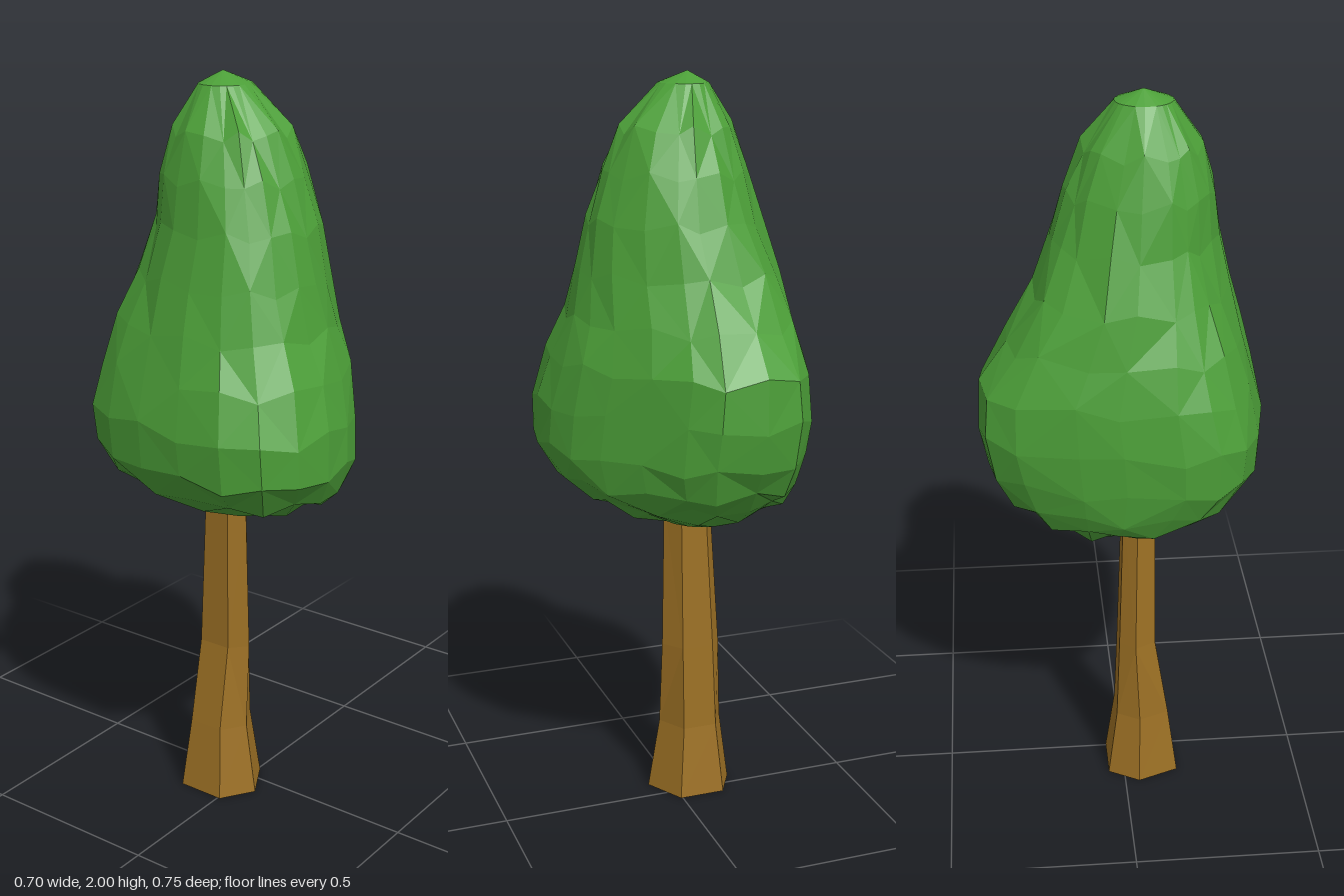
import * as THREE from 'three';

// Closed skin over rings of equal length, each running counter-clockwise seen from above
function skin(rings, bottom, top) {
  const n = rings[0].length;
  const points = [...rings.flat(), bottom, top];
  const index = [];
  const last = rings.length - 1;
  const low = rings.length * n, high = low + 1;
  for (let i = 0; i < n; i++) {
    const j = (i + 1) % n;
    for (let r = 0; r < last; r++) {
      const a = r * n + i, b = r * n + j;
      const c = b + n, d = a + n;
      // alternate the diagonals for an irregular faceted look
      if ((r + i) % 2) index.push(a, b, c, a, c, d);
      else index.push(a, b, d, b, c, d);
    }
    index.push(low, j, i, high, last * n + i, last * n + j);
  }
  const g = new THREE.BufferGeometry();
  g.setAttribute('position', new THREE.Float32BufferAttribute(points.flat(), 3));
  g.setIndex(index);
  g.computeVertexNormals();
  return g;
}

// Crown footprint as x, z, from the front left corner round to the left side
const footprint = [
  [-0.295, 0.29], [-0.2, 0.335], [-0.08, 0.36], [0.055, 0.375], [0.19, 0.377], [0.285, 0.335],
  [0.34, 0.25], [0.355, 0.14], [0.345, 0.04], [0.31, -0.05], [0.25, -0.13], [0.17, -0.22],
  [0.09, -0.31], [0.02, -0.365], [-0.1, -0.377], [-0.2, -0.36], [-0.26, -0.285],
  [-0.31, -0.13], [-0.335, -0.02], [-0.355, 0.13], [-0.34, 0.22],
];

// Crown levels: y, x min, x max, z min, z max, roundness (1 = ellipse, 0 = footprint)
const levels = [
  [0.835, -0.17, 0.05, -0.14, 0.06, 1],
  [0.87, -0.24, 0.15, -0.2, 0.13, 0.8],
  [0.91, -0.3, 0.24, -0.26, 0.22, 0.5],
  [0.96, -0.33, 0.31, -0.315, 0.31, 0.3],
  [1.04, -0.35, 0.35, -0.355, 0.372, 0.1],
  [1.15, -0.355, 0.345, -0.375, 0.377, 0],
  [1.27, -0.34, 0.315, -0.37, 0.347, 0.1],
  [1.38, -0.312, 0.275, -0.3, 0.313, 0.35],
  [1.5, -0.287, 0.25, -0.228, 0.29, 0.6],
  [1.63, -0.235, 0.222, -0.182, 0.26, 0.8],
  [1.75, -0.2, 0.182, -0.145, 0.233, 0.9],
  [1.86, -0.165, 0.135, -0.1, 0.2, 1],
  [1.97, -0.1, 0.03, -0.02, 0.125, 1],
];

function crownRing([y, x0, x1, z0, z1, round], r) {
  return footprint.map(([fx, fz], i) => {
    const u = fx / 0.355, v = fz / 0.377;
    const k = THREE.MathUtils.lerp(1, 1 / Math.hypot(u, v), round);
    // hollow above the shoulder on the front left
    const corner = Math.max(0, (v - u) / 2 - 0.3);
    const dent = y > 1.42 && y < 1.7 ? 1 - 0.2 * corner : 1;
    const wobble = r > 0 && r < 12 ? 0.014 * Math.sin(i * 2.4 + r * 1.9) : 0;
    return [
      (x0 + x1) / 2 + (x1 - x0) / 2 * u * k * dent,
      y + wobble,
      (z0 + z1) / 2 + (z1 - z0) / 2 * v * k * dent,
    ];
  });
}

// Trunk levels: y, x min, x max, z min, z max
const trunkLevels = [
  [0, -0.168, 0.066, -0.045, 0.152],
  [0.2, -0.142, 0.033, -0.02, 0.125],
  [0.44, -0.132, 0.03, -0.012, 0.087],
  [0.86, -0.107, 0.022, 0, 0.085],
  [0.95, -0.1, 0.018, 0, 0.082],
];
const hexagon = [[0.18, 1], [0.75, 1], [1, 0.55], [0.74, 0], [0.2, 0], [0, 0.43]];

export function createModel() {
  const leafGreen = new THREE.MeshStandardMaterial({ color: 0x4c9f38 });
  const barkBrown = new THREE.MeshStandardMaterial({ color: 0x9c7024 });
  leafGreen.name = 'leafGreen';
  barkBrown.name = 'barkBrown';
  leafGreen.flatShading = barkBrown.flatShading = true;

  const tree = new THREE.Group();
  tree.name = 'tree';

  const crown = new THREE.Mesh(
    skin(levels.map(crownRing), [-0.06, 0.825, -0.05], [-0.045, 2, 0.05]), leafGreen);
  crown.name = 'crown';

  // six-sided trunk flaring at the foot
  const rings = trunkLevels.map(([y, x0, x1, z0, z1]) =>
    hexagon.map(([u, v]) => [x0 + (x1 - x0) * u, y, z0 + (z1 - z0) * v]));
  const trunk = new THREE.Mesh(skin(rings, [-0.05, 0, 0.05], [-0.04, 0.95, 0.04]), barkBrown);
  trunk.name = 'trunk';

  tree.add(crown, trunk);
  return tree;
}
